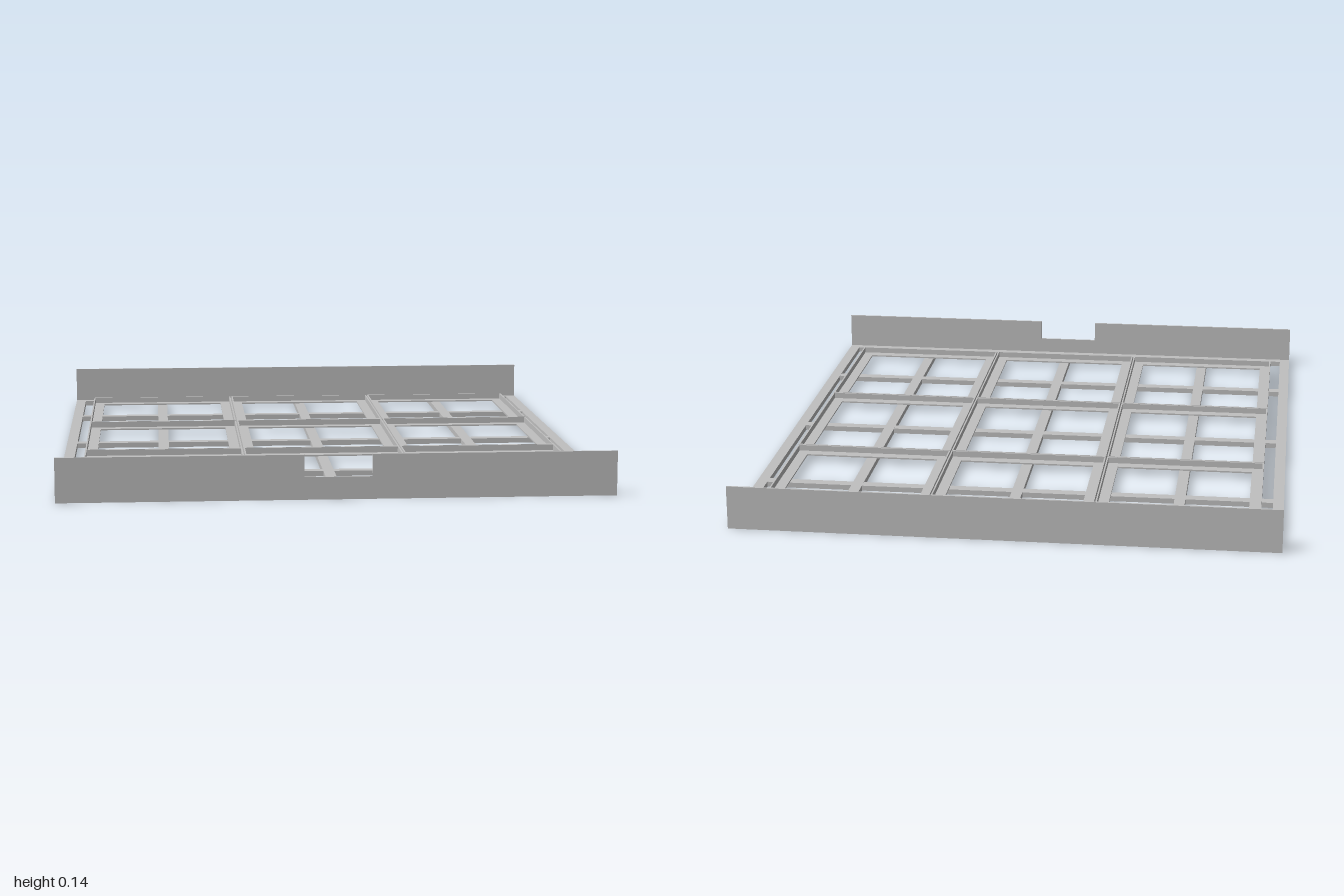
import * as THREE from 'three';

export function createModel() {
  const model = new THREE.Group();
  model.name = 'gridTray';
  const grey = new THREE.MeshStandardMaterial({ color: 0xc0c0c0 });
  grey.name = 'metal grey';

  const W = 0.882, D = 1, BAR = 0.036, BASE = 0.018;
  const PX = 0.541, PZ = 0.593; // compartment pitch
  const SHEET = 0.005;

  function add(parent, name, geometry, x, y, z) {
    const mesh = new THREE.Mesh(geometry, grey);
    mesh.name = name;
    mesh.position.set(x, y, z);
    parent.add(mesh);
  }
  // Rectangular ring lying flat, rising from y = 0 to the given height
  function ring(w, d, border, height) {
    const rect = (s, a, b) => s.moveTo(-a, -b).lineTo(a, -b).lineTo(a, b).lineTo(-a, b).closePath();
    const shape = rect(new THREE.Shape(), w / 2, d / 2);
    shape.holes.push(rect(new THREE.Path(), w / 2 - border, d / 2 - border));
    return new THREE.ExtrudeGeometry(shape, { depth: height, bevelEnabled: false }).rotateX(-Math.PI / 2);
  }

  // Base frame with a lattice of crossing bars
  const base = new THREE.Group();
  base.name = 'baseFrame';
  model.add(base);
  add(base, 'outerFrame', ring(2 * W, 2 * D, BAR, BASE), 0, 0, 0);
  for (const i of [-1, 0, 1]) {
    add(base, 'longBar', new THREE.BoxGeometry(BAR, BASE, 2 * (D - BAR)), i * PX, BASE / 2, 0);
    add(base, 'crossBar', new THREE.BoxGeometry(2 * (W - BAR), BASE - 0.0006, BAR), 0, BASE / 2, i * PZ);
  }

  // Nine shallow compartments of angle section: flange plus thin rim
  for (const i of [-1, 0, 1]) {
    for (const j of [-1, 0, 1]) {
      const cell = new THREE.Group();
      cell.name = 'compartment';
      cell.position.set(i * PX, BASE, j * PZ);
      add(cell, 'flange', ring(PX - 0.004, PZ - 0.004, 0.04, SHEET), 0, 0, 0);
      add(cell, 'rim', ring(PX - 0.004, PZ - 0.004, SHEET, 0.025), 0, 0, 0);
      model.add(cell);
    }
  }

  // End walls, the front one with a central notch
  const H = 0.143, T = 0.007, NX = 0.107, NY = 0.072;
  function wall(name, z, notched) {
    const shape = new THREE.Shape().moveTo(-W, 0).lineTo(W, 0).lineTo(W, H);
    if (notched) shape.lineTo(NX, H).lineTo(NX, NY).lineTo(-NX, NY).lineTo(-NX, H);
    shape.lineTo(-W, H).closePath();
    add(model, name, new THREE.ExtrudeGeometry(shape, { depth: T, bevelEnabled: false }), 0, 0, z);
  }
  wall('frontWall', D - T, true);
  wall('backWall', -D, false);

  return model;
}
